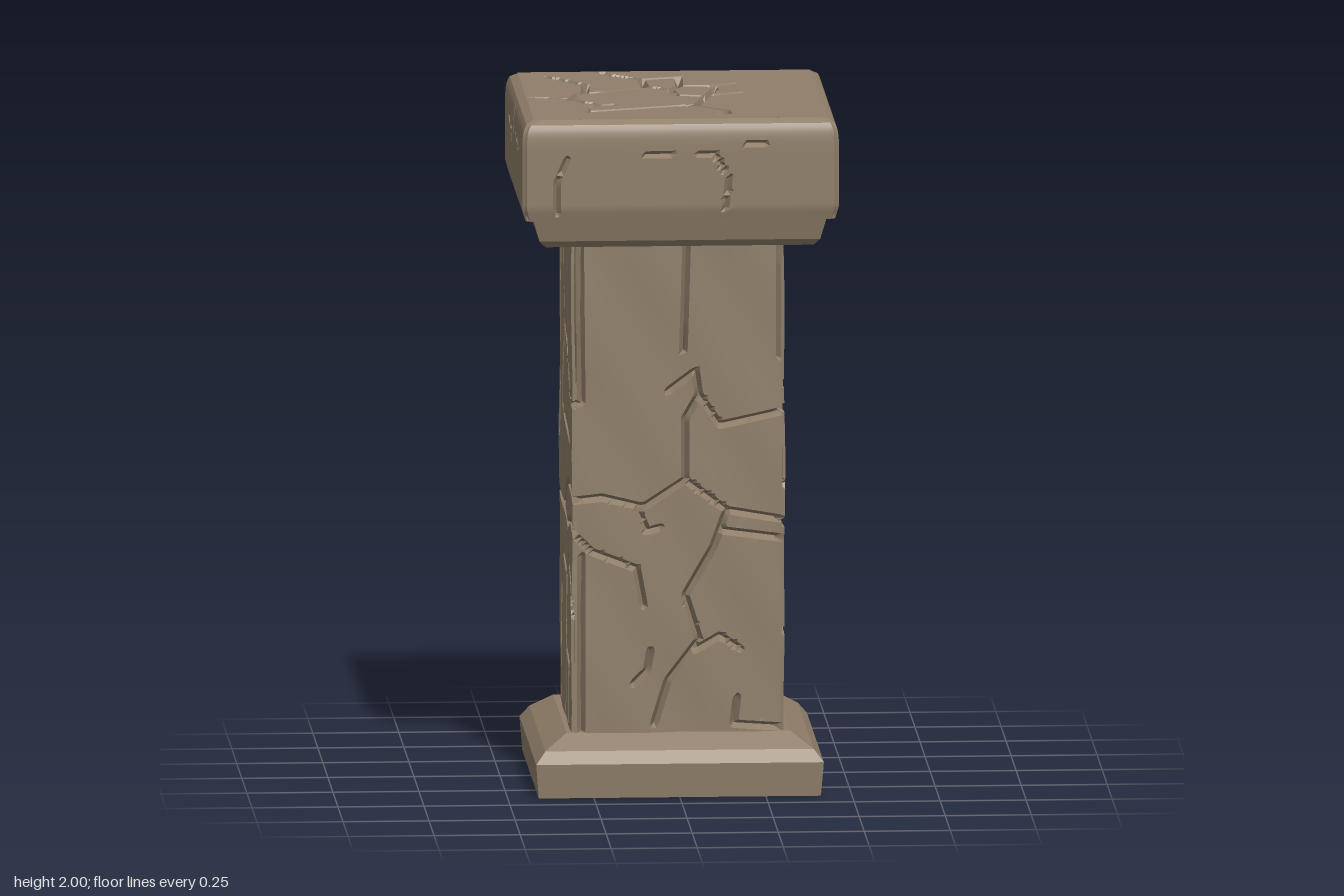
import * as THREE from 'three';
import { toCreasedNormals } from 'three/addons/utils/BufferGeometryUtils.js';

// Crack paths on the shaft, as flat (horizontal, y) lists per side
const SHAFT_FRONT = [
  [0.025, 1.64, 0.015, 1.3], [-0.285, 1.64, -0.28, 1.15, -0.31, 1.14], [0.295, 1.64, 0.295, 1.28],
  [-0.03, 1.18, 0.05, 1.24, 0.06, 1.17, 0.02, 1.1, 0.02, 0.92, -0.04, 0.88, -0.1, 0.84, -0.22, 0.87, -0.31, 0.86],
  [0.06, 1.17, 0.12, 1.08, 0.3, 1.12], [0.02, 0.92, 0.14, 0.83, 0.31, 0.8],
  [0.14, 0.83, 0.1, 0.72, 0.02, 0.58, 0.06, 0.45, -0.03, 0.33, -0.07, 0.2],
  [0.13, 0.77, 0.31, 0.745], [-0.12, 0.84, -0.09, 0.77, -0.05, 0.78],
  [-0.31, 0.77, -0.25, 0.71, -0.12, 0.66, -0.1, 0.55], [-0.08, 0.42, -0.09, 0.36, -0.13, 0.32],
  [0.05, 0.42, 0.12, 0.46, 0.18, 0.42], [0.17, 0.28, 0.16, 0.2, 0.3, 0.19], [-0.28, 0.7, -0.28, 0.18],
];
const SHAFT_RIGHT = [
  [0.2, 1.64, 0.21, 1.4, 0.2, 1.1, 0.17, 0.9, 0.08, 0.87], [0.1, 1.53, 0.08, 1.42, 0, 1.4],
  [0.1, 1.4, 0.1, 1.3, 0.2, 1.23], [-0.21, 1.64, -0.21, 0.88], [-0.295, 1.64, -0.295, 0.9],
  [0.31, 0.79, 0.19, 0.78, 0.08, 0.78, -0.05, 0.84, -0.2, 0.88, -0.31, 0.89],
  [0.19, 0.76, 0.1, 0.68, 0.03, 0.64, -0.06, 0.7, -0.21, 0.73], [-0.15, 0.8, -0.31, 0.79],
  [0.19, 0.78, 0.19, 0.45, 0.17, 0.18], [0.19, 0.45, 0.25, 0.48, 0.31, 0.47],
  [-0.21, 0.73, -0.2, 0.18], [-0.21, 0.4, -0.27, 0.48, -0.31, 0.48], [-0.295, 0.47, -0.3, 0.18],
  [0.31, 1.2, 0.2, 1.19], [0.31, 1.13, 0.2, 1.12], [0.31, 0.91, 0.22, 0.86, 0.19, 0.78],
];
const SHAFT_BACK = [
  [0.09, 1.64, 0.07, 1.34, 0.12, 0.91, 0, 0.79], [-0.035, 1.64, -0.035, 1.24, -0.09, 1.07, -0.17, 0.88],
  [0.25, 0.74, 0.22, 0.78], [0.14, 0.73, 0.1, 0.73, 0.1, 0.54, 0.15, 0.38, 0.1, 0.2],
  [-0.04, 0.75, -0.07, 0.48, -0.18, 0.38, -0.2, 0.2], [0.31, 0.52, 0.22, 0.58, 0.15, 0.38],
  [-0.31, 0.82, -0.24, 0.86, -0.17, 0.88], [-0.07, 0.48, 0.02, 0.4, 0.03, 0.3],
];
const SHAFT_LEFT = [
  [-0.1, 1.64, -0.06, 1.33, 0.11, 1.3, 0.24, 1.15, 0.15, 1.01, -0.11, 1.08, -0.06, 1.33],
  [0.24, 1.15, 0.31, 1.14], [-0.31, 0.8, -0.09, 0.78, 0.11, 0.89, 0.31, 0.86],
  [-0.09, 0.78, 0.08, 0.75, 0.2, 0.79, 0.31, 0.76], [-0.25, 1.62, -0.26, 0.95, -0.31, 0.88],
  [-0.2, 0.2, -0.22, 0.52, -0.13, 0.65, 0.03, 0.6, 0.06, 0.4, 0, 0.2],
  [0.03, 0.6, 0.12, 0.68, 0.25, 0.62, 0.31, 0.52], [0.06, 0.4, 0.17, 0.36, 0.2, 0.2],
];

// Crack paths on the cap sides and the cap top (x, z)
const CAP_SIDES = [
  [[-0.36, 1.73, -0.36, 1.82, -0.33, 1.89], [0.13, 1.74, 0.14, 1.83, 0.1, 1.9, 0.05, 1.9],
    [-0.1, 1.9, -0.03, 1.9], [0.19, 1.93, 0.25, 1.93]],
  [[0.24, 1.9, 0.15, 1.9], [0.05, 1.9, -0.04, 1.91], [-0.26, 1.89, -0.33, 1.87, -0.42, 1.89]],
  [[0.3, 1.9, 0.18, 1.88], [-0.2, 1.97, -0.19, 1.9, -0.3, 1.89], [0, 1.9, -0.06, 1.89]],
  [[-0.25, 1.9, -0.12, 1.89, -0.08, 1.86], [0.1, 1.91, 0.25, 1.89], [0, 1.97, 0.01, 1.9]],
];
const CAP_TOP = [
  [-0.45, 0.01, -0.36, 0.03, -0.3, 0.06, -0.22, 0.165, -0.18, 0.15],
  [-0.3, 0.06, -0.265, -0.045, -0.25, -0.06, -0.24, -0.18, -0.35, -0.33],
  [-0.265, -0.045, -0.2, -0.055, -0.07, -0.14, 0, -0.09, 0.01, 0.01, 0.1, 0.02, 0.2, -0.03],
  [-0.2, -0.43, -0.165, -0.35, -0.075, -0.265, -0.07, -0.14],
  [-0.07, -0.265, 0.035, -0.295, 0.03, -0.15, 0, -0.09],
  [0.03, -0.15, 0.12, -0.145, 0.19, -0.185],
  [0.12, -0.145, 0.13, -0.09, 0.1, 0.02, 0.06, 0.19, 0.02, 0.18, -0.26, 0.27, -0.27, 0.2, -0.22, 0.165],
  [0.06, 0.19, 0.14, 0.27, 0.145, 0.32, 0.11, 0.34],
];

// Turn paths into line segments [ax, ay, bx, by]
function segments(paths, sign = 1, offset = 0) {
  const out = [];
  for (const p of paths) {
    for (let i = 0; i + 3 < p.length; i += 2) {
      out.push([offset + sign * p[i], p[i + 1], offset + sign * p[i + 2], p[i + 3]]);
    }
  }
  return out;
}

// Place the four sides' cracks along one unwrapped perimeter
const unwrap = (sides, width) =>
  sides.flatMap((paths, k) => segments(paths, [1, -1, -1, 1][k], k * width));

// Snap a grid point to the centre or the lip of a nearby V-shaped crack
function carve(u, v, segs, w, depth, period = 0) {
  let best = Infinity, bx = 0, by = 0;
  for (const [ax, ay, cx, cy] of segs) {
    let px = u - ax;
    if (period) px -= period * Math.round(px / period);
    const py = v - ay, dx = cx - ax, dy = cy - ay;
    const t = THREE.MathUtils.clamp((px * dx + py * dy) / (dx * dx + dy * dy), 0, 1);
    const ox = px - t * dx, oy = py - t * dy, d = Math.hypot(ox, oy);
    if (d < best) { best = d; bx = ox; by = oy; }
  }
  if (best < w * 0.5) return [u - bx, v - by, depth];
  if (best < w * 1.5) {
    const k = w / best - 1;
    return [u + bx * k, v + by * k, 0];
  }
  return [u, v, 0];
}

// Grid surface from a point function; wrap joins the last column to the first
function gridSurface(cols, rows, point, wrap) {
  const pos = [], index = [], n = wrap ? cols : cols + 1;
  for (let j = 0; j <= rows; j++) {
    for (let i = 0; i < n; i++) pos.push(...point(i, j));
  }
  for (let j = 0; j < rows; j++) {
    for (let i = 0; i < cols; i++) {
      const a = j * n + i, b = j * n + (i + 1) % n;
      index.push(a, b, b + n, a, b + n, a + n);
    }
  }
  const g = new THREE.BufferGeometry();
  g.setAttribute('position', new THREE.Float32BufferAttribute(pos, 3));
  g.setIndex(index);
  return toCreasedNormals(g, 0.5);
}

// Cracked square wall around the y axis; half(y) gives its half width
function crackedWall({ sides, width, n, rows, y0, y1, half, w, depth, chamfer, wobble }) {
  const segs = unwrap(sides, width), period = width * 4;
  return gridSurface(n * 4, rows, (i, j) => {
    const side = Math.floor(i / n), corner = i % n === 0;
    const u = (side - 0.5 + (i % n) / n) * width, y = y0 + (y1 - y0) * j / rows;
    const edge = j === 0 || j === rows;
    let [cu, cy, d] = carve(u, y, segs, w, depth, period);
    if (corner) { cu = u; d += chamfer; }
    if (edge) { cy = y; d = corner ? chamfer : 0; }
    const a = u * Math.PI * 2 / period;
    d += wobble * (1 + Math.sin(5 * a + 4 * y) * Math.sin(9 * y + 3 * a));
    const h = half(cy) - d;
    const s = THREE.MathUtils.clamp((cu - side * width) * half(cy) * 2 / width, -h, h);
    const p = [[s, h], [h, -s], [-s, -h], [-h, s]][side];
    return [p[0], cy, p[1]];
  }, true);
}

// Plain square moulding from a (half width, y) profile
function moulding(profile) {
  const pts = profile.map(([h, y]) => new THREE.Vector2(h * Math.SQRT2, y));
  return toCreasedNormals(new THREE.LatheGeometry(pts, 4, Math.PI / 4), 0.3);
}

export function createModel() {
  const stone = new THREE.MeshStandardMaterial({ color: 0x8f7e69 });
  stone.name = 'brown stone';
  const group = new THREE.Group();
  group.name = 'stonePillar';
  const add = (name, geometry) => {
    const mesh = new THREE.Mesh(geometry, stone);
    mesh.name = name;
    group.add(mesh);
    return mesh;
  };

  // Plinth with sloped top
  const base = add('base', moulding([[0, 0], [0.41, 0], [0.418, 0.1], [0.39, 0.135], [0.325, 0.178], [0, 0.18]]));
  base.position.z = -0.018;

  // Cracked shaft
  add('shaft', crackedWall({
    sides: [SHAFT_FRONT, SHAFT_RIGHT, SHAFT_BACK, SHAFT_LEFT], width: 0.62, n: 58, rows: 136,
    y0: 0.17, y1: 1.63, half: () => 0.312, w: 0.0125, depth: 0.028, chamfer: 0.009, wobble: 0.003,
  }));

  // Moulding under the cap
  const neck = add('capMoulding', moulding([[0, 1.62], [0.39, 1.62], [0.408, 1.64], [0.427, 1.71], [0, 1.72]]));
  neck.scale.z = 0.96;

  // Cap sides, bevelled in to the top
  const capHalf = (y) => {
    if (y < 1.73) return THREE.MathUtils.mapLinear(y, 1.705, 1.73, 0.45, 0.457);
    if (y < 1.9) return 0.46;
    return 0.425 + 0.035 * Math.sqrt(Math.max(0, 1 - ((y - 1.9) / 0.1) ** 4));
  };
  const sides = add('capSides', crackedWall({
    sides: CAP_SIDES, width: 0.92, n: 72, rows: 24, y0: 1.705, y1: 2,
    half: capHalf, w: 0.011, depth: 0.02, chamfer: 0.008, wobble: 0,
  }));
  sides.scale.z = 0.953;

  // Cap underside ledge
  const ledge = add('capLedge', new THREE.BoxGeometry(0.895, 0.02, 0.853));
  ledge.position.y = 1.716;

  // Cracked cap top
  const topSegs = segments(CAP_TOP), hx = 0.425, hz = 0.405, nx = 72, nz = 68;
  add('capTop', gridSurface(nx, nz, (i, j) => {
    const x = hx * (2 * i / nx - 1), z = hz * (1 - 2 * j / nz);
    if (i === 0 || j === 0 || i === nx || j === nz) return [x, 2, z];
    const [cx, cz, d] = carve(x, z, topSegs, 0.0125, 0.028);
    return [cx, 2 - d, cz];
  }, false));

  return group;
}
